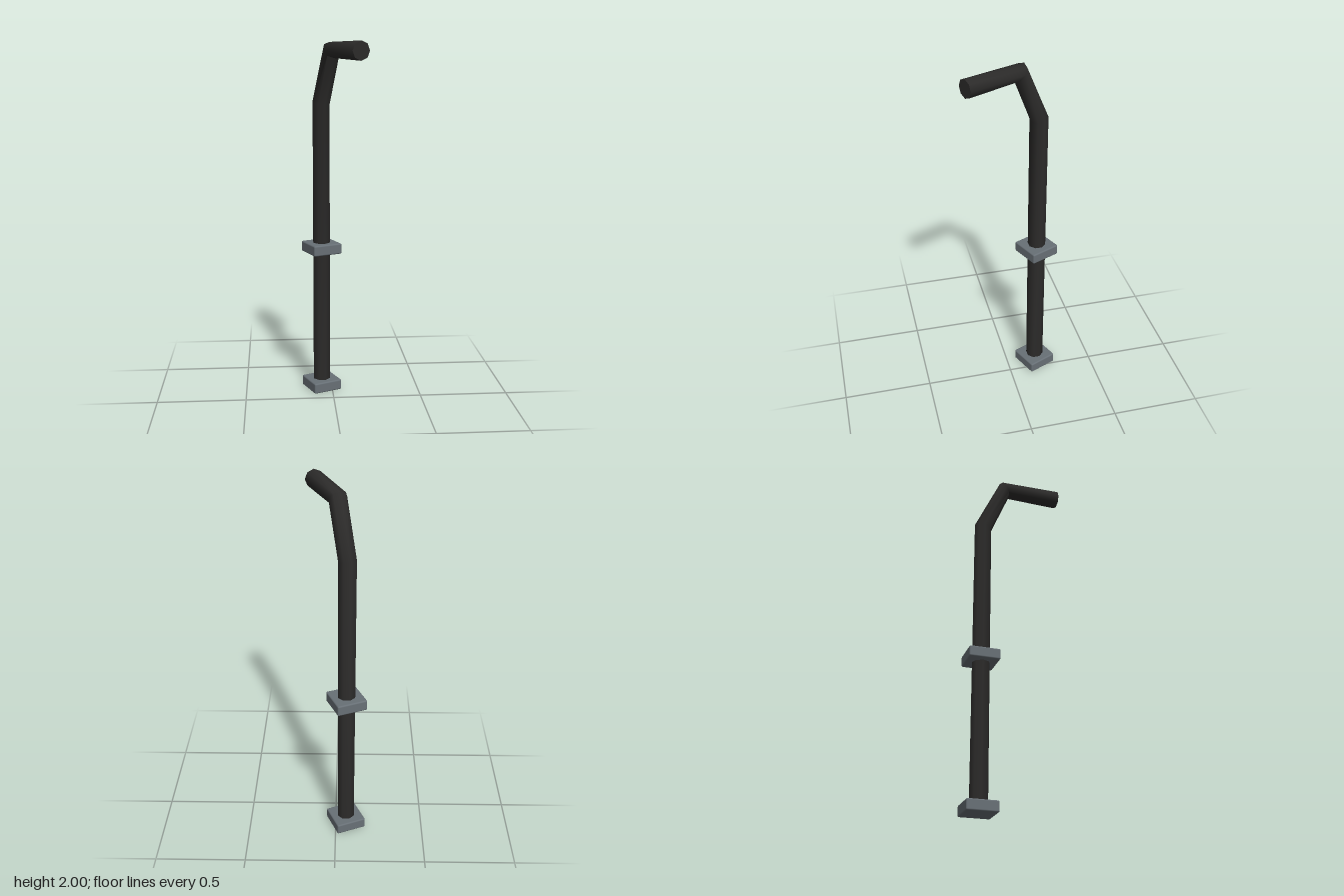
import * as THREE from 'three';
import { toCreasedNormals } from 'three/addons/utils/BufferGeometryUtils.js';
import { RoundedBoxGeometry } from 'three/addons/geometries/RoundedBoxGeometry.js';

// Octagonal pipe swept through rings of [forward, height, tilt in degrees]
function bentPipe(rings, radius) {
  const n = rings.length - 1;
  const geo = new THREE.CylinderGeometry(radius, radius, n, 8, n);
  const pos = geo.attributes.position;
  for (let i = 0; i < pos.count; i++) {
    const [forward, height, degrees] = rings[Math.round(pos.getY(i) + n / 2)];
    const tilt = THREE.MathUtils.degToRad(degrees);
    const z = pos.getZ(i);
    pos.setY(i, height - z * Math.sin(tilt));
    pos.setZ(i, forward + z * Math.cos(tilt));
  }
  return toCreasedNormals(geo, 1.05);
}

export function createModel() {
  const group = new THREE.Group();
  group.name = 'bentPipe';

  const darkMetal = new THREE.MeshStandardMaterial({ color: 0x2c2b2a });
  darkMetal.name = 'dark metal';
  const greyMetal = new THREE.MeshStandardMaterial({ color: 0x687076 });
  greyMetal.name = 'grey metal';

  // Everything is built facing +z, then turned about the upright
  const assembly = new THREE.Group();
  assembly.name = 'pipeAssembly';
  assembly.position.set(-0.059, 0, -0.166);
  assembly.rotation.y = THREE.MathUtils.degToRad(23.3);
  group.add(assembly);

  // Upright, sloping neck and level outlet
  const pipe = new THREE.Mesh(bentPipe([
    [0, 0.02, 0],
    [0, 1.665, 12],
    [0.127, 1.95, 57],
    [0.453, 1.95, 90],
  ], 0.05), darkMetal);
  pipe.name = 'pipe';
  assembly.add(pipe);

  // Square plates with softened edges
  const plateGeo = new RoundedBoxGeometry(0.172, 0.06, 0.172, 2, 0.008);
  for (const [name, y] of [['basePlate', 0.03], ['middleCollar', 0.847]]) {
    const plate = new THREE.Mesh(plateGeo, greyMetal);
    plate.name = name;
    plate.position.y = y;
    assembly.add(plate);
  }
  return group;
}
